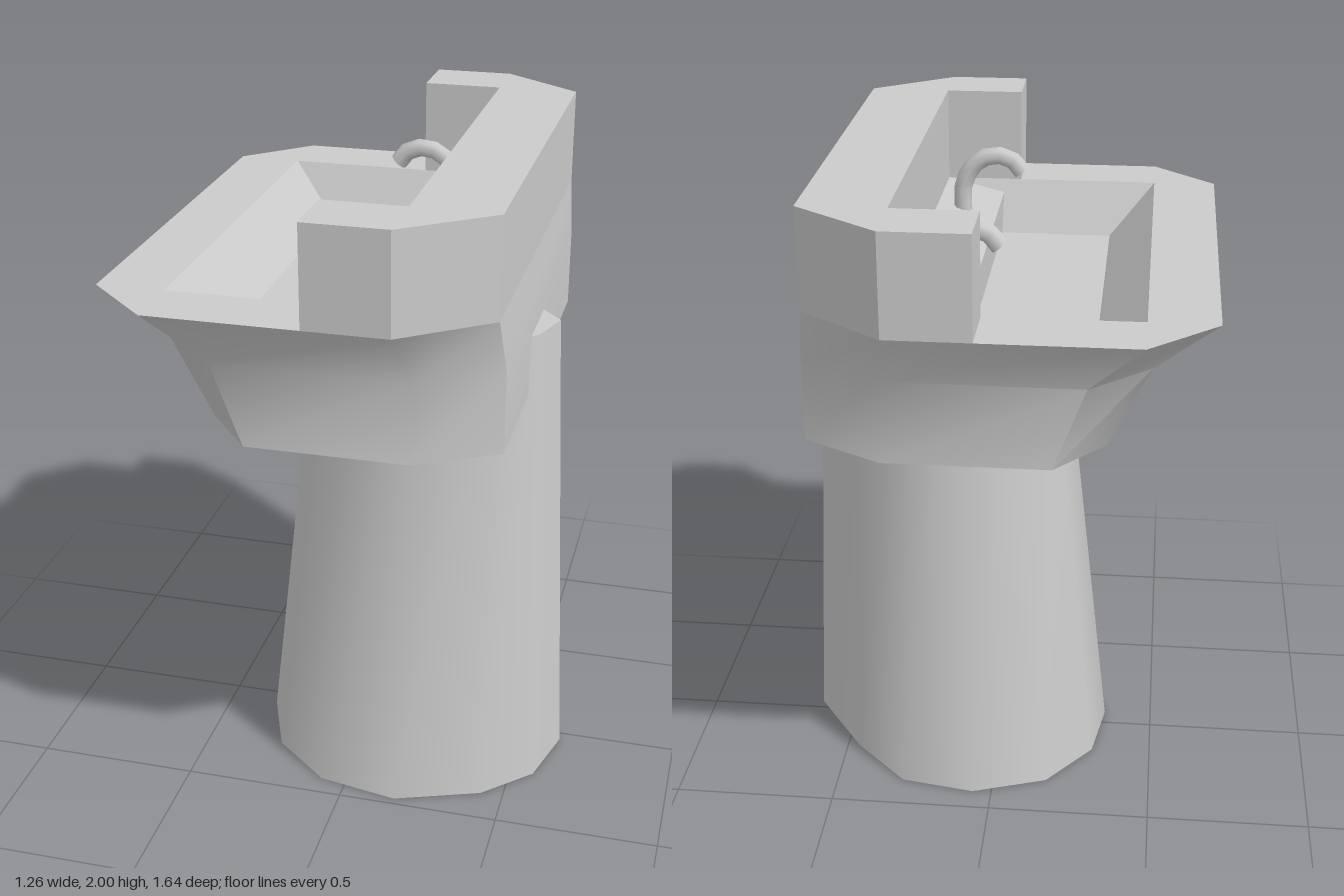
import * as THREE from 'three';
import { toCreasedNormals } from 'three/addons/utils/BufferGeometryUtils.js';

const grey = new THREE.MeshStandardMaterial({ color: 0xcccccc });
const greyDouble = new THREE.MeshStandardMaterial({ color: 0xcccccc, side: THREE.DoubleSide });

function geometryFrom(points, index) {
  const g = new THREE.BufferGeometry();
  g.setAttribute('position', new THREE.Float32BufferAttribute(points.flat(), 3));
  g.setIndex(index);
  g.computeVertexNormals();
  return g;
}

// Skin over horizontal rings of [x, z] points, listed from +x towards +z, lowest ring first.
function loft(rings, capTop) {
  const n = rings[0].points.length;
  const points = rings.flatMap(r => r.points.map(([x, z]) => [x, r.y, z]));
  const index = [];
  for (let r = 0; r < rings.length - 1; r++) {
    for (let i = 0; i < n; i++) {
      const a = r * n + i, b = r * n + (i + 1) % n;
      index.push(a, a + n, b, b, a + n, b + n);
    }
  }
  const top = (rings.length - 1) * n;
  for (let i = 1; i < n - 1; i++) {
    index.push(0, i, i + 1);
    if (capTop) index.push(top, top + i + 1, top + i);
  }
  return toCreasedNormals(geometryFrom(points, index), 0.85);
}

// Rectangle with chamfered corners: back, front, half width and where the chamfers start.
function octagon(back, front, half, backX, frontX, backZ, frontZ) {
  const side = [[back, backZ], [backX, half], [frontX, half], [front, frontZ]];
  return [...side, ...side.map(([x, z]) => [x, -z]).reverse()];
}

const planShape = pts => new THREE.Shape(pts.map(([x, z]) => new THREE.Vector2(x, -z)));

export function createModel() {
  const model = new THREE.Group();
  const add = (name, geometry, material = grey) => {
    const mesh = new THREE.Mesh(geometry, material);
    mesh.name = name;
    model.add(mesh);
    return mesh;
  };

  // Tapering pedestal, its back edge standing proud of the bowl
  const foot = [[0.63, 0.035], [0.575, 0.24], [0.43, 0.38], [0.17, 0.475], [-0.08, 0.43], [-0.26, 0.28],
    [-0.345, 0.06], [-0.31, -0.16], [-0.17, -0.34], [0.06, -0.42], [0.29, -0.38], [0.46, -0.21]];
  const head = foot.map(([x, z]) => [0.19 + (x - 0.14) * 0.76, 0.03 + (z - 0.03) * 0.62]);
  add('pedestal', loft([{ y: 0, points: foot }, { y: 1.49, points: head }], true));

  // Outer bowl, flaring towards the rim
  const rim = octagon(0.485, -0.635, 0.82, 0.24, -0.44, 0.635, 0.635);
  add('bowl', loft([
    { y: 1.31, points: octagon(0.5, -0.34, 0.72, 0.27, -0.2, 0.59, 0.55) },
    { y: 1.55, points: octagon(0.5, -0.46, 0.72, 0.27, -0.29, 0.59, 0.56) },
    { y: 1.71, points: rim },
  ], false));

  // Flat rim around the basin opening
  const rimShape = planShape(rim);
  rimShape.holes.push(planShape([[-0.44, -0.63], [0.24, -0.63], [0.24, 0.63], [-0.44, 0.63]]));
  add('rim', new THREE.ShapeGeometry(rimShape).rotateX(-Math.PI / 2)).position.y = 1.71;

  // Basin: sloping walls, floor, and a tap ledge at the back
  const profile = [[-0.44, 1.71, 0.63], [-0.3, 1.55, 0.55], [0.055, 1.55, 0.55], [0.055, 1.67, 0.61], [0.24, 1.71, 0.63]];
  const basinPoints = [...profile, ...profile.map(([x, y, z]) => [x, y, -z])];
  const basinIndex = [];
  for (let i = 0; i < 4; i++) basinIndex.push(i, i + 1, i + 5, i + 1, i + 6, i + 5);
  for (const [a, b, c] of [[3, 4, 0], [3, 0, 1], [3, 1, 2]]) basinIndex.push(a, c, b, a + 5, b + 5, c + 5);
  add('basin', toCreasedNormals(geometryFrom(basinPoints, basinIndex), 0.2), greyDouble);

  // Raised splashback with two short arms
  const half = [[0.24, 0.63], [0, 0.63], [0, 0.82], [0.24, 0.82], [0.485, 0.635]];
  const splash = planShape([...half, ...half.map(([x, z]) => [x, -z]).reverse()]);
  add('splashback', new THREE.ExtrudeGeometry(splash, { depth: 0.29, bevelEnabled: false })
    .rotateX(-Math.PI / 2)).position.y = 1.71;

  // Pair of arched taps
  const path = new THREE.CatmullRomCurve3([[0.16, 1.67], [0.16, 1.77], [0.12, 1.84], [0.06, 1.865], [0.005, 1.85], [-0.025, 1.815]]
    .map(([x, y]) => new THREE.Vector3(x, y, 0)));
  for (const side of [1, -1]) {
    const tap = new THREE.Group();
    tap.name = side > 0 ? 'leftTap' : 'rightTap';
    const spout = new THREE.Mesh(new THREE.TubeGeometry(path, 8, 0.028, 8), grey);
    spout.name = 'spout';
    const end = new THREE.Mesh(new THREE.CircleGeometry(0.028, 8), grey);
    end.name = 'spoutEnd';
    end.position.copy(path.getPoint(1));
    end.lookAt(path.getPoint(1).add(path.getTangent(1)));
    tap.add(spout, end);
    tap.position.z = side * 0.362;
    model.add(tap);
  }
  return model;
}
